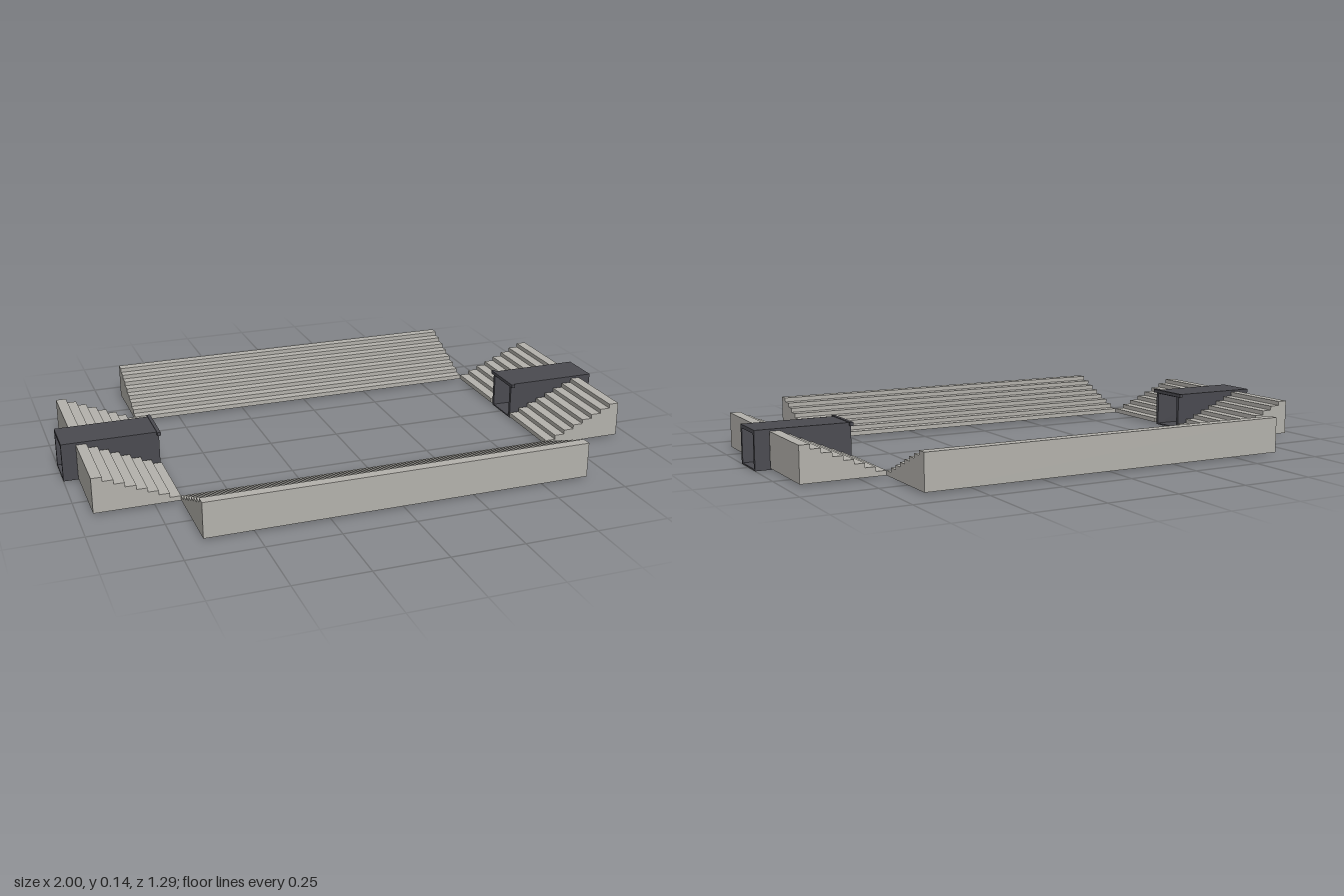
import * as THREE from 'three';

const concrete = new THREE.MeshStandardMaterial({ color: 0xb4b2ac });
concrete.name = 'concrete';
const darkPanel = new THREE.MeshStandardMaterial({ color: 0x4a4a50 });
darkPanel.name = 'darkPanel';

const STEPS = 8, TREAD = 0.0357, RISE = 0.0151, BASE = 0.006, FIRST = 0.022;

// Stepped terrace: climbs along +x from x = 0, spans z = 0..length
function terrace(name, length) {
  const shape = new THREE.Shape();
  shape.moveTo(0, BASE);
  for (let i = 0; i < STEPS; i++) {
    shape.lineTo(i * TREAD, FIRST + i * RISE);
    shape.lineTo((i + 1) * TREAD, FIRST + i * RISE);
  }
  shape.lineTo(STEPS * TREAD, BASE);
  const geo = new THREE.ExtrudeGeometry(shape, { depth: length, bevelEnabled: false });
  const mesh = new THREE.Mesh(geo, concrete);
  mesh.name = name;
  return mesh;
}

function box(name, x0, x1, y0, y1, z0, z1) {
  const mesh = new THREE.Mesh(new THREE.BoxGeometry(x1 - x0, y1 - y0, z1 - z0), darkPanel);
  mesh.position.set((x0 + x1) / 2, (y0 + y1) / 2, (z0 + z1) / 2);
  mesh.name = name;
  return mesh;
}

// Open entrance passage running along +x
function passage() {
  const g = new THREE.Group();
  g.add(box('passageFloor', 0.668, 1, 0, 0.005, -0.072, 0.072));
  g.add(box('passageRoof', 0.668, 1, 0.122, 0.134, -0.074, 0.074));
  for (const s of [-1, 1]) {
    g.add(box('passageWall', 0.668, 1, 0.005, 0.122, s * 0.066 - 0.006, s * 0.066 + 0.006));
  }
  // Wider lintel over the pitch-side opening
  g.add(box('passageLintel', 0.664, 0.676, 0.124, 0.136, -0.086, 0.086));
  return g;
}

export function createModel() {
  const model = new THREE.Group();

  // Long stands at the front and back
  for (const s of [1, -1]) {
    const stand = terrace(s > 0 ? 'frontStand' : 'backStand', 1.33);
    stand.rotation.y = -s * Math.PI / 2;
    stand.position.set(s * 0.665, 0, s * 0.36);
    model.add(stand);
  }

  // Each end: two short stands with a passage between them
  for (const s of [1, -1]) {
    const end = new THREE.Group();
    end.name = s > 0 ? 'leftEnd' : 'rightEnd';
    for (const z of [0.078, -0.36]) {
      const stand = terrace('endStand', 0.282);
      stand.position.set(0.665, 0, z);
      end.add(stand);
    }
    const tunnel = passage();
    tunnel.name = 'passage';
    end.add(tunnel);
    if (s < 0) end.rotation.y = Math.PI;
    model.add(end);
  }
  return model;
}
